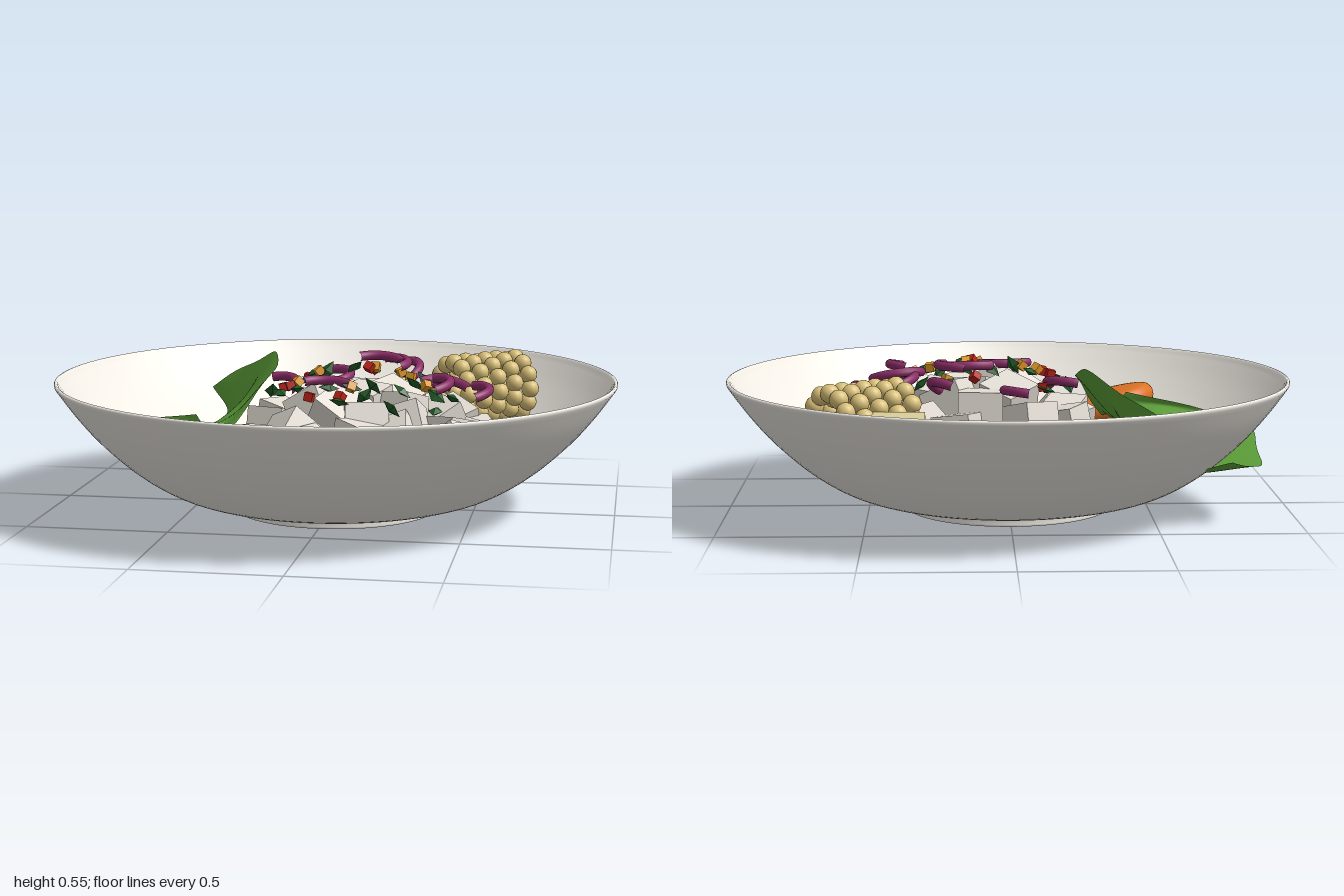
import * as THREE from 'three';
import { ParametricGeometry } from 'three/addons/geometries/ParametricGeometry.js';

const mat = (color, extra = {}) => new THREE.MeshStandardMaterial({ color, ...extra });
const M = {
  bowl: mat(0xf2eee6), broth: mat(0xe0dac5), fish: mat(0xe4ded5), potato: mat(0xdd7427),
  lettuce: mat(0x5fa23a, { side: THREE.DoubleSide }), core: mat(0xd9cb96), kernel: mat(0xd9c078),
  onion: mat(0x8a2d66), herb: mat(0x205a26, { flatShading: true }), red: mat(0xb82218), orange: mat(0xe09a2a),
};

// Small seeded generator for the scattered food
let seed = 7;
const rnd = (a = 0, b = 1) => {
  seed = (seed * 16807) % 2147483647;
  return a + (b - a) * seed / 2147483647;
};

function add(parent, name, geo, material, x = 0, y = 0, z = 0) {
  const m = new THREE.Mesh(geo, material);
  m.name = name;
  m.position.set(x, y, z);
  parent.add(m);
  return m;
}

const V2 = (p) => new THREE.Vector2(...p);
const V3 = (p) => new THREE.Vector3(...p);

// Height of the food heap above the bowl floor
const heap = (x, z) => Math.max(0.18, 0.39 - 0.85 * ((x - 0.1) ** 2 + (z - 0.07) ** 2));

function makeBowl(g) {
  const outer = new THREE.SplineCurve([[0.385, 0.039], [0.48, 0.046], [0.6, 0.084], [0.72, 0.157],
    [0.84, 0.262], [0.93, 0.365], [0.997, 0.458]].map(V2)).getPoints(28);
  const inner = new THREE.SplineCurve([[0.982, 0.46], [0.915, 0.375], [0.825, 0.282], [0.71, 0.187],
    [0.58, 0.115], [0.45, 0.08], [0.3, 0.07], [0.001, 0.07]].map(V2)).getPoints(32);
  const foot = [[0, 0.025], [0.305, 0.025], [0.312, 0.022], [0.325, 0.003], [0.33, 0], [0.334, 0], [0.364, 0],
    [0.368, 0], [0.37, 0.004], [0.37, 0.008], [0.37, 0.028], [0.375, 0.036]].map(V2);
  const rim = [[1, 0.466], [0.998, 0.471], [0.992, 0.473], [0.986, 0.469]].map(V2);
  add(g, 'bowl', new THREE.LatheGeometry([...foot, ...outer, ...rim, ...inner], 96), M.bowl);
  add(g, 'broth', new THREE.CylinderGeometry(0.43, 0.42, 0.012, 64), M.broth, 0, 0.083, 0);
}

function makeFish(g) {
  const cubes = new THREE.Group();
  cubes.name = 'fishCubes';
  const spots = [[0.05, -0.38], [-0.16, -0.23], [-0.07, -0.16], [0.3, -0.2], [0.1, -0.12], [0.2, -0.03],
    [-0.2, -0.05], [-0.21, 0.1], [0, 0], [-0.05, 0.14], [0.12, 0.08], [0.25, 0.1], [0.38, 0.03], [0.49, -0.03],
    [0.52, 0.08], [0.42, 0.16], [0.46, 0.24], [0.28, 0.22], [0.15, 0.28], [0.05, 0.22], [-0.1, 0.32],
    [-0.24, 0.24], [-0.03, 0.42], [0.12, 0.49], [-0.02, 0.54], [0.16, 0.39], [0.36, 0.43], [-0.08, 0.45],
    [0.26, 0.33], [0.4, -0.11], [0.18, -0.24]];
  for (const [x, z] of spots) {
    const s = rnd(0.13, 0.16);
    const c = add(cubes, 'fishCube', new THREE.BoxGeometry(s, s * rnd(0.85, 1), s), M.fish, x, heap(x, z), z);
    c.rotation.set(rnd(-0.5, 0.5), rnd(0, 3), rnd(-0.5, 0.5));
  }
  // Lower layer that carries the heap
  for (let i = 0; i < 14; i++) {
    const a = i * 2.4, r = 0.1 + 0.26 * Math.sqrt(i / 14);
    const c = add(cubes, 'fishCube', new THREE.BoxGeometry(0.14, 0.14, 0.14), M.fish,
      0.1 + r * Math.cos(a), 0.18, 0.07 + r * Math.sin(a));
    c.rotation.set(rnd(-0.4, 0.4), rnd(0, 3), rnd(-0.4, 0.4));
  }
  g.add(cubes);
}

function makePotato(g) {
  // Thick slice with rounded edge, leaning on the bowl wall
  const pts = [[0, -0.06], [0.1, -0.058], [0.165, -0.05], [0.202, -0.03], [0.215, 0], [0.208, 0.025],
    [0.185, 0.043], [0.1, 0.056], [0, 0.06]].map(V2);
  const geo = new THREE.LatheGeometry(new THREE.SplineCurve(pts).getPoints(28), 48);
  geo.scale(1, 1, 0.87);
  const p = add(g, 'sweetPotatoSlice', geo, M.potato, -0.368, 0.28, 0.485);
  p.quaternion.setFromUnitVectors(new THREE.Vector3(0, 1, 0), new THREE.Vector3(0.3, 1, 0.07).normalize());
}

function makeLettuce(g) {
  // Cross-sections from stem to tip, each running from the raised edge to the outer edge
  const rows = [
    [[-0.36, 0.28, 0.28], [-0.39, 0.29, 0.28], [-0.42, 0.33, 0.28], [-0.45, 0.37, 0.27]],
    [[-0.28, 0.4, 0.1], [-0.42, 0.28, 0.14], [-0.6, 0.31, 0.19], [-0.79, 0.3, 0.13]],
    [[-0.235, 0.5, -0.1], [-0.4, 0.31, -0.05], [-0.6, 0.24, 0], [-0.88, 0.26, 0.04]],
    [[-0.27, 0.51, -0.24], [-0.42, 0.31, -0.2], [-0.62, 0.2, -0.14], [-0.88, 0.24, -0.12]],
    [[-0.41, 0.45, -0.42], [-0.47, 0.2, -0.31], [-0.63, 0.17, -0.28], [-0.85, 0.2, -0.37]],
    [[-0.57, 0.34, -0.5], [-0.5, 0.25, -0.44], [-0.6, 0.2, -0.41], [-0.75, 0.23, -0.42]],
  ].map((r) => new THREE.CatmullRomCurve3(r.map(V3)));
  const n = 32;
  const lines = Array.from({ length: n + 1 }, (_, i) =>
    new THREE.CatmullRomCurve3(rows.map((r) => r.getPoint(1 - i / n))));
  const geo = new ParametricGeometry((u, v, t) => {
    t.copy(lines[Math.round(u * n)].getPoint(v));
    // Soft ripples that grow toward the edges
    t.y += 0.014 * Math.sin(v * 17 + u * 4) * Math.abs(2 * u - 1) * Math.sin(Math.PI * v);
  }, n, 40);
  geo.computeVertexNormals();
  add(g, 'lettuceLeaf', geo, M.lettuce);
}

function makeCorn(g) {
  const core = add(g, 'cornCore', new THREE.CylinderGeometry(0.08, 0.08, 0.33, 32), M.core, 0.455, 0.345, -0.52);
  core.rotation.z = Math.PI / 2;
  const kernels = new THREE.Group();
  kernels.name = 'cornKernels';
  const ball = new THREE.SphereGeometry(0.033, 14, 10);
  for (let i = 0; i < 5; i++) {
    for (let j = 0; j < 12; j++) {
      const a = (j + (i % 2) * 0.5) * Math.PI / 6;
      add(kernels, 'kernel', ball, M.kernel, (i - 2) * 0.068, 0.104 * Math.sin(a), 0.104 * Math.cos(a));
    }
  }
  kernels.position.set(0.498, 0.38, -0.41);
  kernels.rotation.y = 0.67;
  g.add(kernels);
}

function makeToppings(g) {
  const top = new THREE.Group();
  top.name = 'toppings';
  // Onion slivers: x, z, turn, tilt
  const onions = [[-0.08, -0.21, -0.8, 0.2], [0.18, -0.24, -0.9, 0.5], [0.13, -0.06, 0.1, 0.15],
    [0.15, -0.06, -0.7, 0.1], [-0.24, 0.02, -0.6, 0.3], [0.43, 0.05, 1.8, 0.3], [0.45, 0, -1, 0.2],
    [0.33, 0.18, -1, 0.2], [0, 0.29, 0.3, 0.1], [0.4, 0.13, 0.5, 0.3]];
  for (const [x, z, turn, tilt] of onions) {
    const geo = new THREE.TorusGeometry(0.1, 0.017, 10, 24, 2.2);
    geo.rotateX(-Math.PI / 2);
    const o = add(top, 'onionSliver', geo, M.onion, x, heap(x, z) + 0.14, z);
    o.rotation.set(tilt, turn, 0, 'YXZ');
  }
  // Chopped herb leaves
  const herb = new THREE.OctahedronGeometry(0.04).scale(1, 0.35, 0.65);
  const herbs = [[-0.13, -0.12], [-0.08, 0.01], [0.31, -0.09], [0.02, 0.27], [0.1, 0.27], [0.17, 0.25], [0.25, 0.36],
    [0.3, 0.14], [0.39, 0.28], [0.38, 0.17], [-0.17, 0.19], [-0.1, 0.22], [-0.02, 0.06], [0.22, -0.14], [0.43, 0.1],
    [0.07, 0.36], [0.27, 0.24], [-0.22, 0.07], [0.15, 0.32], [0.06, -0.05]];
  for (const [x, z] of herbs) {
    const h = add(top, 'herbLeaf', herb, M.herb, x, heap(x, z) + 0.125, z);
    h.rotation.set(rnd(-0.7, 0.7), rnd(0, 6), rnd(-0.7, 0.7));
  }
  // Diced red and orange chili
  const dice = [[-0.12, -0.12], [-0.05, 0.06], [0.13, 0.06], [0.15, 0.04], [-0.13, 0.18], [-0.11, 0.16], [-0.04, 0.32],
    [0.1, 0.28], [0.07, 0.34], [0.22, -0.12], [0.12, -0.13], [0.34, 0.13], [-0.16, 0.16], [0.28, 0.08]];
  dice.forEach(([x, z], i) => {
    const d = add(top, 'chiliDice', new THREE.BoxGeometry(0.03, 0.03, 0.03), i % 2 ? M.orange : M.red,
      x, heap(x, z) + 0.13, z);
    d.rotation.set(rnd(0, 1), rnd(0, 3), rnd(0, 1));
  });
  g.add(top);
}

export function createModel() {
  seed = 7;
  const g = new THREE.Group();
  g.name = 'saladBowl';
  [makeBowl, makeFish, makePotato, makeLettuce, makeCorn, makeToppings].forEach((make) => make(g));
  return g;
}
